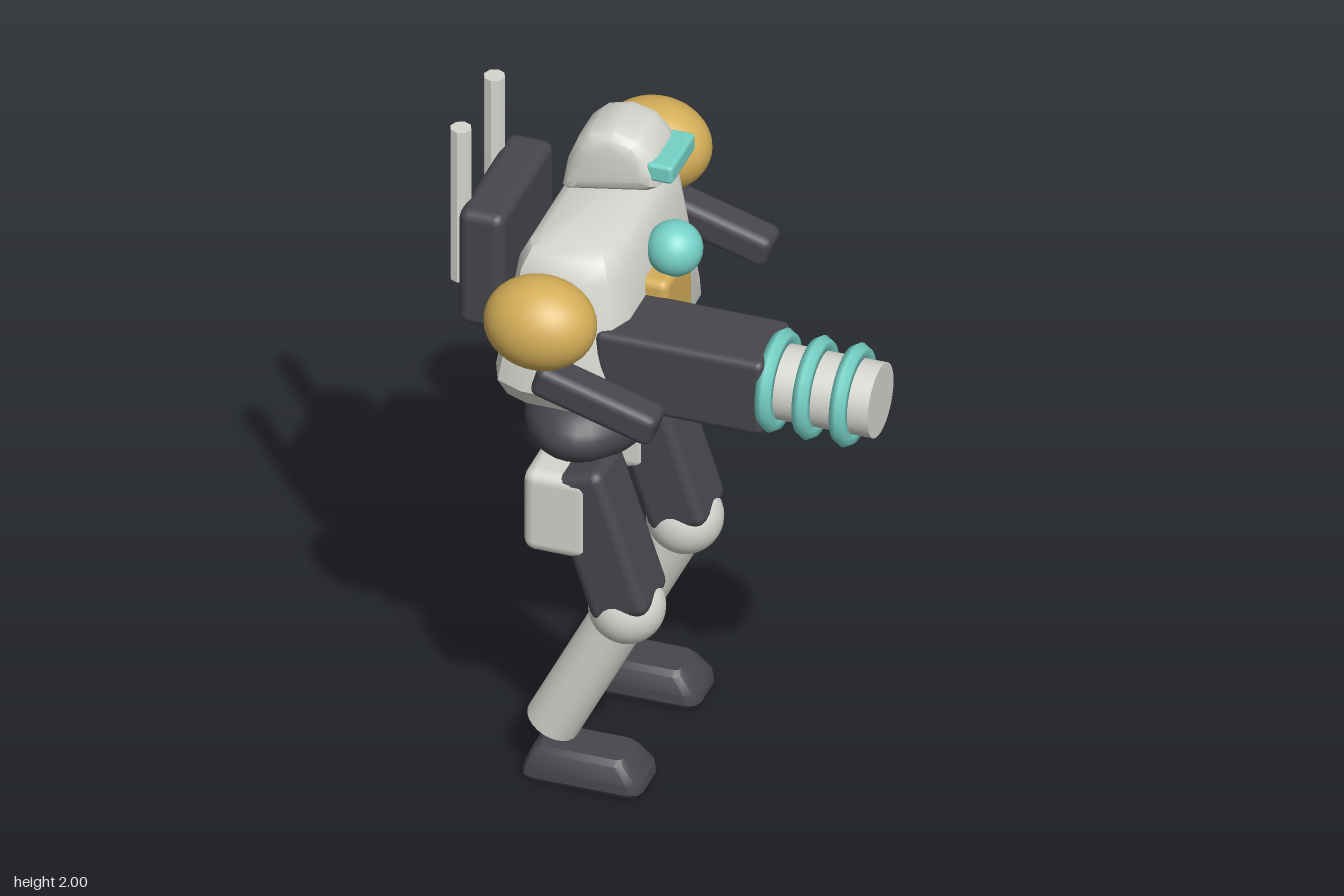
import * as THREE from 'three';
import { toCreasedNormals } from 'three/addons/utils/BufferGeometryUtils.js';
import { RoundedBoxGeometry } from 'three/addons/geometries/RoundedBoxGeometry.js';

const paint = (name, color) => {
  const m = new THREE.MeshStandardMaterial({ color });
  m.name = name;
  return m;
};

// Stacked rounded-rectangle sections: [y, xBack, xFront, halfZ, cornerRadius]
function loft(sections) {
  const rings = sections.map(([y, x0, x1, hz, r]) => {
    const ring = [], cx = (x0 + x1) / 2, hx = (x1 - x0) / 2;
    const corners = [[1, 1], [-1, 1], [-1, -1], [1, -1]];
    corners.forEach(([sx, sz], q) => {
      for (let k = 0; k < 3; k++) {
        const a = (q + k / 2) * Math.PI / 2;
        ring.push([cx + sx * (hx - r) + r * Math.cos(a), y, sz * (hz - r) + r * Math.sin(a)]);
      }
    });
    return ring;
  });
  const pos = [], n = 12;
  const tri = (...p) => p.forEach(v => pos.push(...v));
  const mid = ([y, x0, x1]) => [(x0 + x1) / 2, y, 0];
  const last = rings.length - 1;
  for (let i = 0; i < n; i++) {
    const j = (i + 1) % n;
    for (let s = 0; s < last; s++) {
      const a = rings[s], b = rings[s + 1];
      tri(a[i], b[i], a[j]);
      tri(a[j], b[i], b[j]);
    }
    tri(mid(sections[0]), rings[0][i], rings[0][j]);
    tri(mid(sections[last]), rings[last][j], rings[last][i]);
  }
  const g = new THREE.BufferGeometry();
  g.setAttribute('position', new THREE.Float32BufferAttribute(pos, 3));
  return toCreasedNormals(g, 0.6);
}

export function createModel() {
  const model = new THREE.Group();
  model.name = 'walkerRobot';
  const shell = paint('pale armour', 0xd6d6d0);
  const dark = paint('dark frame', 0x47464c);
  const gold = paint('gold', 0xd4ae58);
  const teal = paint('teal', 0x76d2c7);

  const add = (name, geo, mat, x = 0, y = 0, z = 0, rz = 0) => {
    const m = new THREE.Mesh(geo, mat);
    m.name = name;
    m.position.set(x, y, z);
    m.rotation.z = rz;
    model.add(m);
    return m;
  };
  const block = (w, h, d, r) => new RoundedBoxGeometry(w, h, d, 2, r);
  const ball = r => new THREE.SphereGeometry(r, 32, 20);

  // Torso and pelvis
  add('torso', loft([
    [1.215, -0.4, -0.11, 0.285, 0.07],
    [1.235, -0.435, -0.075, 0.33, 0.09],
    [1.29, -0.46, -0.05, 0.36, 0.11],
    [1.64, -0.4, -0.1, 0.315, 0.09],
    [1.69, -0.375, -0.125, 0.28, 0.07],
    [1.71, -0.345, -0.155, 0.24, 0.05],
  ]), shell);
  add('pelvis', ball(1), dark, -0.252, 1.088, 0).scale.set(0.187, 0.128, 0.305);

  // Chest details
  add('chestPlate', block(0.09, 0.275, 0.214, 0.025), gold, -0.065, 1.413, 0);
  add('chestOrb', ball(0.078), teal, -0.037, 1.6, 0);

  // Helmet: side outline with rounded flanks
  const outline = new THREE.Shape([
    [-0.318, 1.777], [-0.085, 1.82], [-0.05, 1.84], [-0.052, 1.89], [-0.075, 1.94], [-0.115, 1.982],
    [-0.185, 2.0], [-0.255, 1.98], [-0.29, 1.947], [-0.323, 1.865], [-0.336, 1.79],
  ].map(p => new THREE.Vector2(...p)));
  const helmet = new THREE.ExtrudeGeometry(outline, {
    depth: 0.1, bevelThickness: 0.057, bevelSize: 0.045, bevelOffset: -0.045, bevelSegments: 3,
  });
  helmet.translate(0, 0, -0.05);
  add('helmet', toCreasedNormals(helmet, 0.6), shell);
  add('visor', block(0.078, 0.056, 0.19, 0.012), teal, -0.049, 1.894, 0);

  // Backpack with antennas
  add('backpack', block(0.132, 0.37, 0.425, 0.03), dark, -0.521, 1.545, 0);

  // Arm cannon
  add('cannonHousing', block(0.485, 0.236, 0.24, 0.022), dark, 0.09, 1.388, 0.21);
  const barrel = new THREE.CylinderGeometry(0.105, 0.105, 0.38, 32);
  add('cannonBarrel', barrel, shell, 0.44, 1.388, 0.213, -Math.PI / 2);
  const ring = new THREE.TorusGeometry(0.12, 0.025, 6, 36);
  for (const x of [0.337, 0.443, 0.55]) {
    add('cannonRing', ring, teal, x, 1.388, 0.213).rotation.y = Math.PI / 2;
  }

  // Mirrored parts
  const antenna = toCreasedNormals(new THREE.CylinderGeometry(0.03, 0.03, 0.485, 8), 0.5);
  const foot = loft([
    [0.005, -0.362, -0.035, 0.076, 0.03],
    [0.02, -0.371, -0.025, 0.087, 0.035],
    [0.05, -0.365, -0.03, 0.086, 0.035],
    [0.095, -0.345, -0.07, 0.073, 0.03],
    [0.11, -0.325, -0.085, 0.058, 0.02],
  ]);
  const knee = new THREE.Vector2(-0.09, 0.575), ankle = new THREE.Vector2(-0.303, 0.155);
  const shin = ankle.clone().sub(knee);
  for (const [side, s] of [['left', 1], ['right', -1]]) {
    const part = (name, ...rest) => add(side + name, ...rest);
    part('Antenna', antenna, shell, -0.602, 1.707, s * 0.135);
    part('Pauldron', ball(1), gold, -0.257, 1.6, s * 0.463).scale.set(0.157, 0.131, 0.131);
    part('Forearm', block(0.36, 0.096, 0.104, 0.025), dark, -0.092, 1.385, s * 0.463, -0.29);

    // Leg
    const z = s * 0.233;
    part('Thigh', block(0.172, 0.46, 0.19, 0.03), dark, -0.15, 0.8, z, 0.315);
    part('HipArmour', block(0.2, 0.26, 0.196, 0.035), shell, -0.26, 0.88, z);
    part('Knee', ball(0.106), shell, knee.x, knee.y, z);
    part('Shin', new THREE.CylinderGeometry(0.077, 0.077, shin.length(), 24), shell,
      (knee.x + ankle.x) / 2, (knee.y + ankle.y) / 2, z, Math.atan2(shin.x, -shin.y));
    part('Foot', foot, dark, 0, -0.005, z);
  }
  return model;
}
